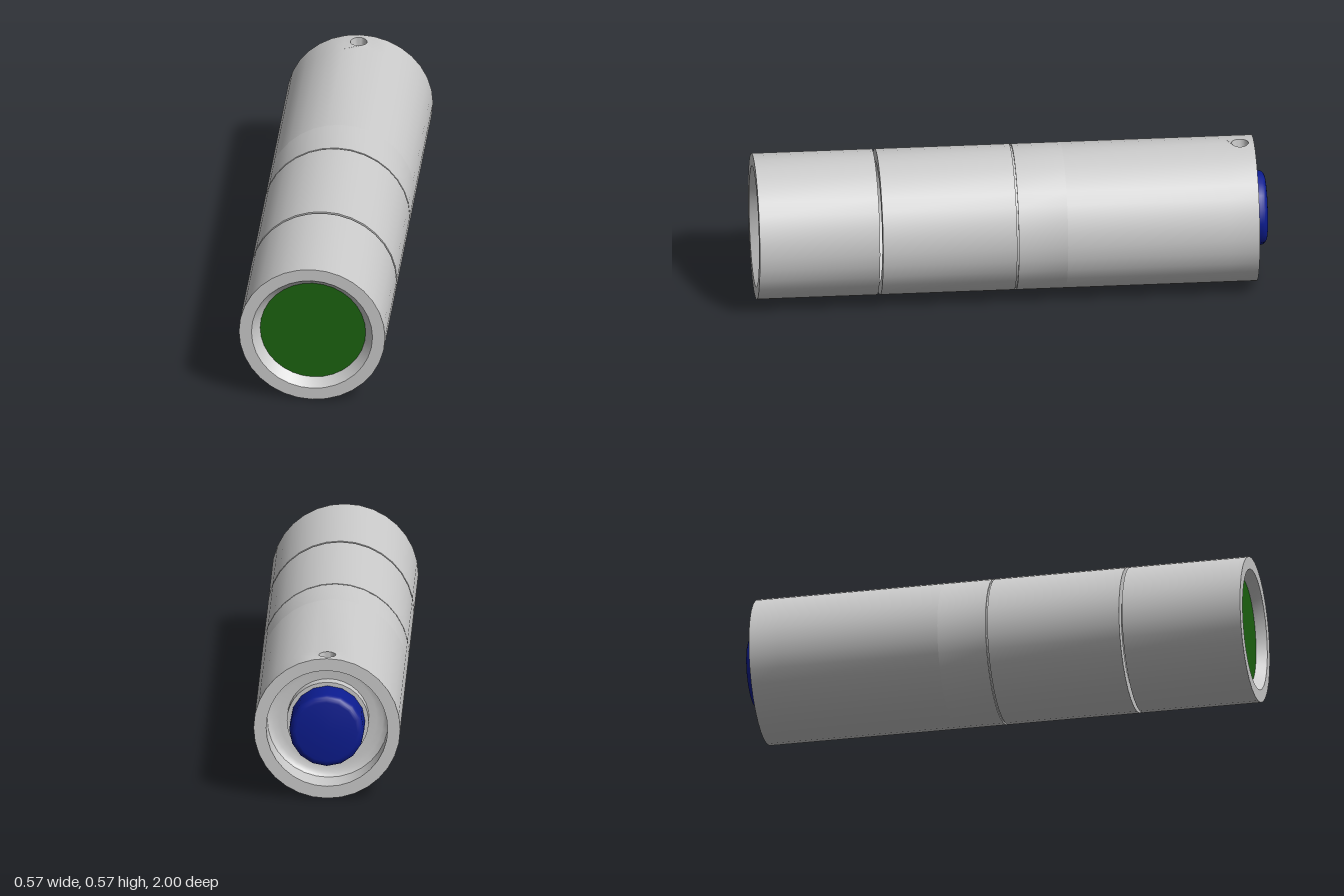
import * as THREE from 'three';
import { mergeGeometries, toCreasedNormals } from 'three/addons/utils/BufferGeometryUtils.js';

const R = 0.286, RI = 0.237, SEG = 32;
const STEP = (2 * Math.PI) / SEG;

// Revolve [radius, z] points around the z axis
function turned(points, seg = SEG, start = 0, length = Math.PI * 2) {
  const profile = points.map(([r, z]) => new THREE.Vector2(r, z));
  return new THREE.LatheGeometry(profile, seg, start, length).rotateX(Math.PI / 2).toNonIndexed();
}

// Wall patch at the top of the tail, pierced by a round hole and bent to the tube
function piercedPatch(z0, z1, holeZ, holeR) {
  const shape = new THREE.Shape([
    [-STEP, -z1], [0, -z1], [STEP, -z1], [STEP, -z0], [0, -z0], [-STEP, -z0],
  ].map(([u, v]) => new THREE.Vector2(u, v)));
  const hole = new THREE.Path();
  hole.absellipse(0, -holeZ, holeR / R, holeR, 0, Math.PI * 2, true);
  shape.holes.push(hole);
  const g = new THREE.ExtrudeGeometry(shape, { depth: R - RI, bevelEnabled: false, curveSegments: 12 });
  const p = g.attributes.position;
  for (let i = 0; i < p.count; i++) {
    const u = p.getX(i), v = p.getY(i), r = RI + p.getZ(i);
    p.setXYZ(i, r * Math.sin(u), r * Math.cos(u), -v);
  }
  return g;
}

export function createModel() {
  const group = new THREE.Group();
  const axis = new THREE.Group();
  axis.name = 'barrel';
  axis.position.y = R;
  group.add(axis);

  const grey = new THREE.MeshStandardMaterial({ color: 0xcccccc });
  const green = new THREE.MeshStandardMaterial({ color: 0x1c6410 });
  const blue = new THREE.MeshStandardMaterial({ color: 0x0c1c90 });

  function add(name, geometry, material = grey) {
    const mesh = new THREE.Mesh(toCreasedNormals(geometry, 0.6), material);
    mesh.name = name;
    axis.add(mesh);
  }

  // Front head: open tube with a tapered lip that holds the lens
  add('head', turned([
    [RI, 0.53], [R, 0.53], [R, 1], [RI, 1], [0.205, 0.96], [RI, 0.96], [RI, 0.53],
  ]));
  add('lens', turned([[0, 0.945], [RI, 0.945], [RI, 0.962], [0, 0.962]]), green);

  // Middle cup, open towards the head
  add('middleBody', turned([
    [0, -0.006], [R, -0.006], [R, 0.518], [RI, 0.518], [RI, 0.05], [0, 0.05],
  ]));

  // Narrow core showing in the groove, and the flush ring behind it
  add('grooveCore', turned([[0.279, -0.02], [0.279, 0.001]]));
  add('centreRing', turned([[0, -0.205], [R, -0.205], [R, -0.013], [0, -0.013]]));

  // Tail: dished floor, tube wall and rim, with a hole through the top of the wall
  add('tail', mergeGeometries([
    turned([[0, -0.82], [0.19, -0.82], [0.215, -0.824], [0.231, -0.832], [RI, -0.84]]),
    turned([[R, -0.84], [R, -0.205], [0, -0.205]]),
    turned([[RI, -0.84], [RI, -0.955], [R, -0.955], [R, -0.84]],
      SEG - 2, Math.PI + STEP, Math.PI * 2 - 2 * STEP),
    piercedPatch(-0.955, -0.84, -0.9, 0.033),
  ]));

  // Push button with a rounded edge, standing in a collar
  add('buttonCollar', turned([[0, -0.865], [0.16, -0.865], [0.16, -0.82]]));
  const button = [[0, -1]];
  for (let i = 0; i <= 4; i++) {
    const a = (i / 4) * Math.PI / 2;
    button.push([0.12 + 0.026 * Math.sin(a), -0.974 - 0.026 * Math.cos(a)]);
  }
  button.push([0.146, -0.84]);
  add('button', turned(button, 16), blue);

  return group;
}
